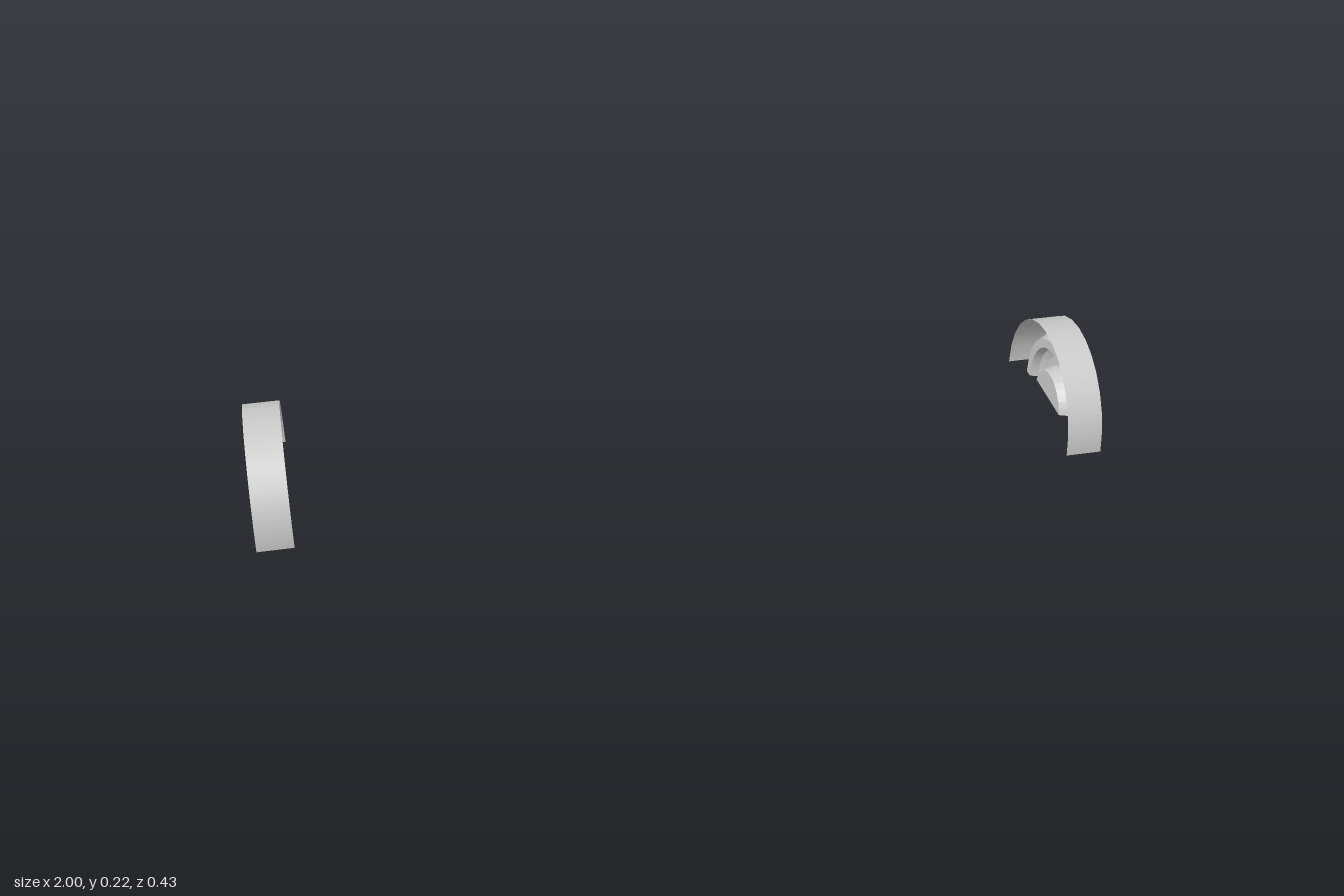
import * as THREE from 'three';

const material = new THREE.MeshStandardMaterial({ color: 0xcccccc, side: THREE.DoubleSide });
const SEGMENTS = 14;
const LIFT = 0.0075; // height of the wheel axis above the cut

// Half ring swept about the x axis between [radius, x] points, with a flat cut at y = 0
function band(name, from, to) {
  const points = [from, to].map(([r, x]) => new THREE.Vector2(r, x));
  const geometry = new THREE.LatheGeometry(points, SEGMENTS, Math.PI, Math.PI);
  geometry.rotateZ(-Math.PI / 2);
  const p = geometry.attributes.position;
  for (let i = 0; i < p.count; i++) {
    p.setY(i, p.getY(i) < 1e-5 ? 0 : p.getY(i) + LIFT);
  }
  const mesh = new THREE.Mesh(geometry, material);
  mesh.name = name;
  return mesh;
}

// Half-round outline as 2D points (z mirrored into shape x), with a flat base
function halfRound(radius, base) {
  const points = [];
  const start = Math.asin((base - LIFT) / radius);
  for (let i = 0; i <= SEGMENTS; i++) {
    const a = start + (Math.PI - 2 * start) * i / SEGMENTS;
    points.push(new THREE.Vector2(radius * Math.cos(a), LIFT + radius * Math.sin(a)));
  }
  return points;
}

// Flat plate facing +x at a given depth
function plate(name, outline, x, hole) {
  const shape = new THREE.Shape(outline);
  if (hole) shape.holes.push(new THREE.Path(hole));
  const mesh = new THREE.Mesh(new THREE.ShapeGeometry(shape).rotateY(Math.PI / 2), material);
  mesh.position.x = x;
  mesh.name = name;
  return mesh;
}

// Tapered wall joining two matching outlines
function wall(name, a, xa, b, xb) {
  const positions = [];
  for (let i = 0; i < a.length; i++) {
    const j = (i + 1) % a.length;
    const a0 = [xa, a[i].y, -a[i].x], a1 = [xa, a[j].y, -a[j].x];
    const b0 = [xb, b[i].y, -b[i].x], b1 = [xb, b[j].y, -b[j].x];
    positions.push(...a0, ...a1, ...b1, ...a0, ...b1, ...b0);
  }
  const geometry = new THREE.BufferGeometry();
  geometry.setAttribute('position', new THREE.Float32BufferAttribute(positions, 3));
  geometry.computeVertexNormals();
  const mesh = new THREE.Mesh(geometry, material);
  mesh.name = name;
  return mesh;
}

// Thin half-wheel shell; x = 0 is its outer side
function halfWheel(name) {
  const wheel = new THREE.Group();
  wheel.name = name;

  // Stepped rings from the tread in to the hub
  const profile = [[0.2125, -0.085], [0.2125, 0], [0.1875, 0], [0.1615, -0.055],
    [0.1385, -0.055], [0.1325, -0.035], [0.1145, -0.025]];
  const names = ['tread', 'sidewall', 'rimSlope', 'rimFloor', 'hubStep', 'hubBevel'];
  names.forEach((part, i) => wheel.add(band(part, profile[i], profile[i + 1])));

  // Hub face with a half-round pocket sunk into it
  const hub = halfRound(0.1145, LIFT);
  hub[0].y = hub[SEGMENTS].y = 0;
  const mouth = halfRound(0.0925, 0.024);
  const floor = halfRound(0.083, 0.026);
  wheel.add(
    plate('hubFace', hub, -0.025, mouth),
    wall('pocketWall', mouth, -0.025, floor, -0.06),
    plate('pocketFloor', floor, -0.06)
  );
  return wheel;
}

export function createModel() {
  const model = new THREE.Group();
  model.name = 'halfWheelPair';
  for (const side of [1, -1]) {
    const wheel = halfWheel(side > 0 ? 'leftHalfWheel' : 'rightHalfWheel');
    wheel.position.x = side;
    if (side < 0) wheel.rotation.y = Math.PI;
    model.add(wheel);
  }
  return model;
}
